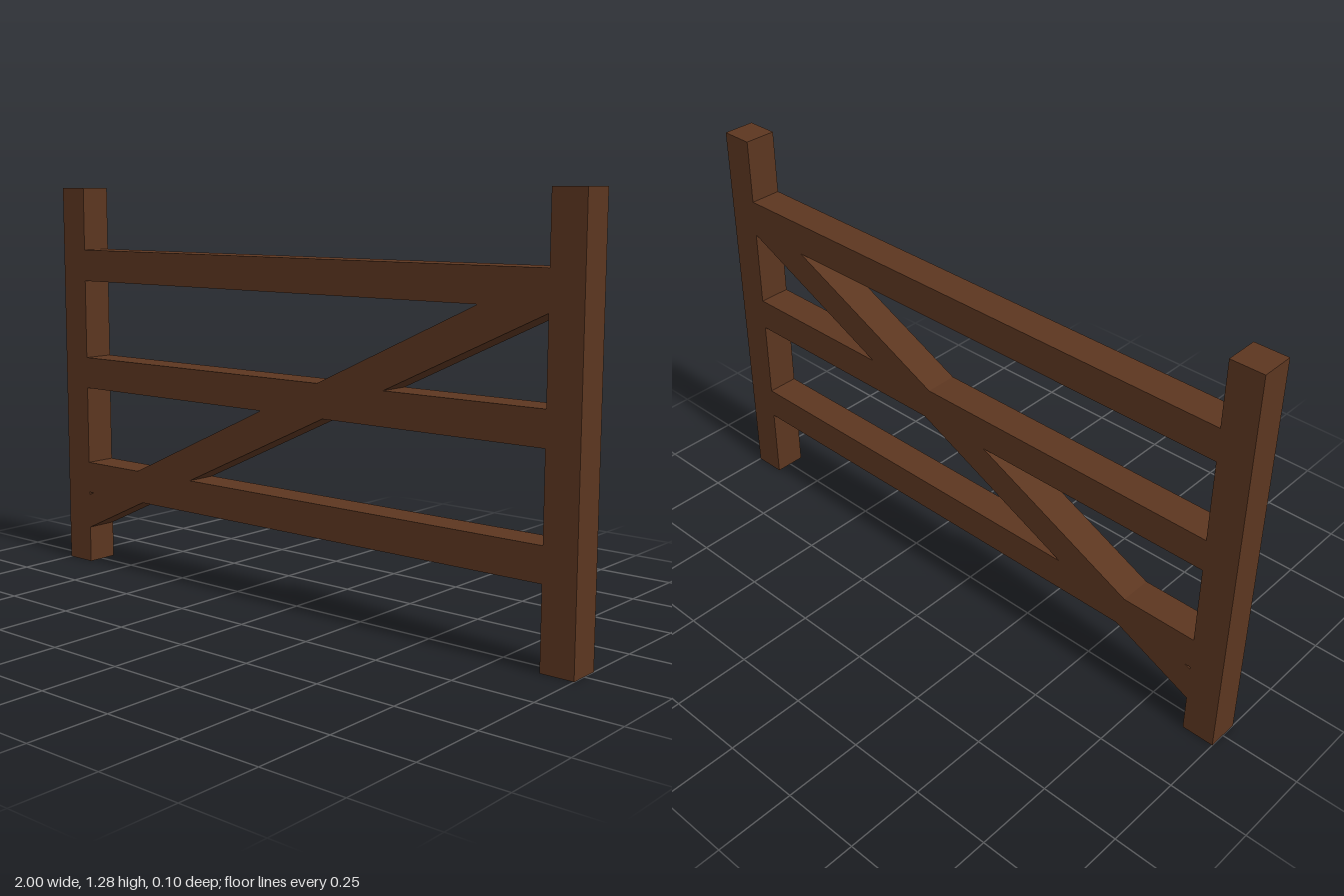
import * as THREE from 'three';

export function createModel() {
  const gate = new THREE.Group();
  gate.name = 'gate';
  const wood = new THREE.MeshStandardMaterial({ color: 0x5c3620, flatShading: true });
  const depth = 0.104, postWidth = 0.104, postHeight = 1.28;
  const inner = 1 - postWidth;

  const add = (name, geometry, x, y, z = 0) => {
    const mesh = new THREE.Mesh(geometry, wood);
    mesh.name = name;
    mesh.position.set(x, y, z);
    gate.add(mesh);
  };

  // Upright posts
  for (const [name, side] of [['leftPost', 1], ['rightPost', -1]]) {
    add(name, new THREE.BoxGeometry(postWidth, postHeight, depth), side * (1 - postWidth / 2), postHeight / 2);
  }

  // Horizontal rails
  for (const [name, y] of [['lowerRail', 0.296], ['middleRail', 0.658], ['upperRail', 1.022]]) {
    add(name, new THREE.BoxGeometry(2 * inner, 0.104, depth), 0, y);
  }

  // Diagonal brace, cut vertically where it meets the posts
  const rise = 0.467 * inner, half = 0.057;
  const outline = new THREE.Shape([
    new THREE.Vector2(-inner, -rise - half),
    new THREE.Vector2(inner, rise - half),
    new THREE.Vector2(inner, rise + half),
    new THREE.Vector2(-inner, -rise + half),
  ]);
  add('diagonalBrace', new THREE.ExtrudeGeometry(outline, { depth, bevelEnabled: false }), 0, 0.596, -depth / 2);

  return gate;
}
